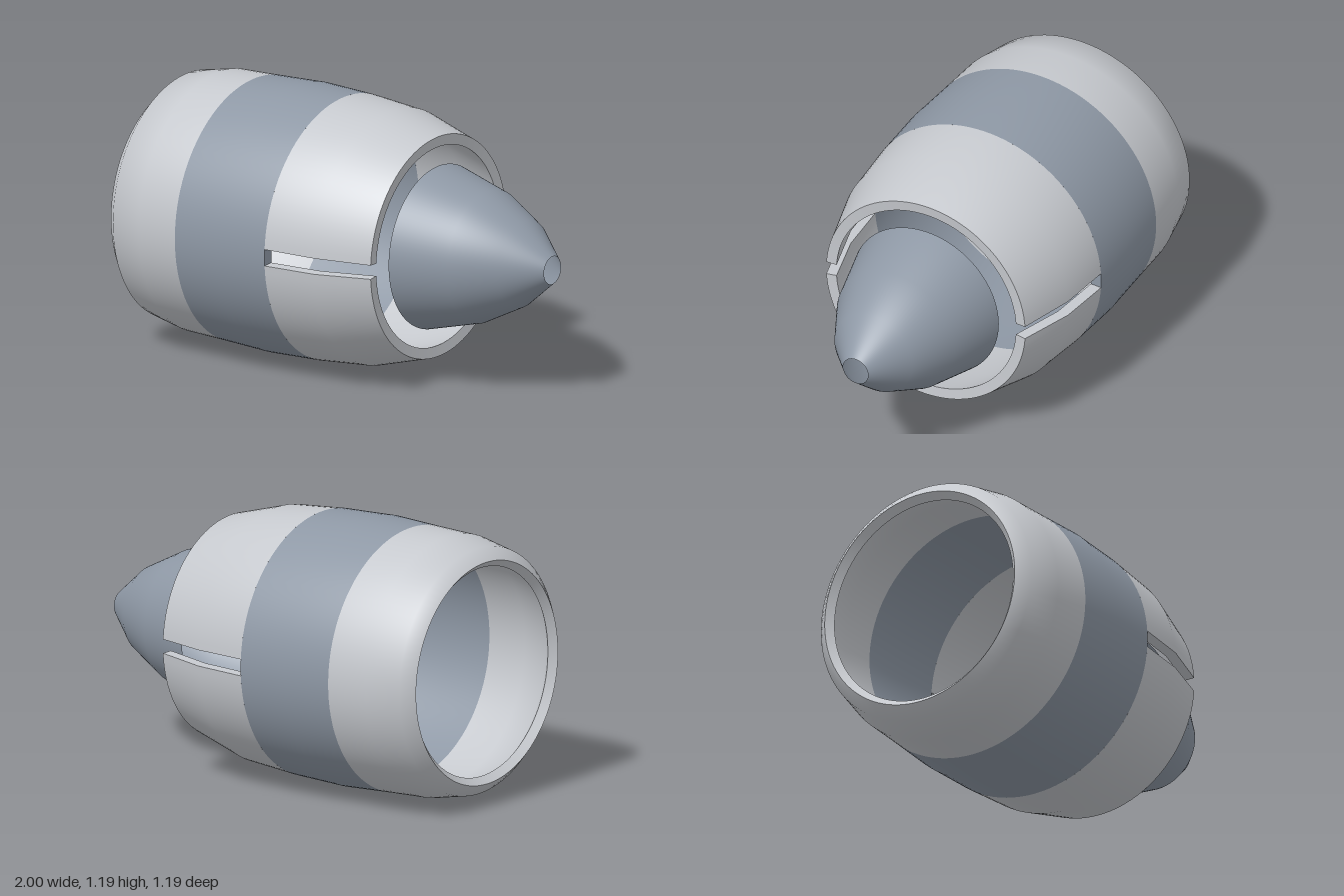
import * as THREE from 'three';
import { mergeGeometries, toCreasedNormals } from 'three/addons/utils/BufferGeometryUtils.js';

const CENTRE_Y = 0.595;
const SLOT = 0.0628; // half angle of each side slot

const lightGrey = new THREE.MeshStandardMaterial({ name: 'lightGrey', color: 0xc6c9ce, side: THREE.DoubleSide });
const slateGrey = new THREE.MeshStandardMaterial({ name: 'slateGrey', color: 0x8e98a5, side: THREE.DoubleSide });

// Profiles are lists of [x along the axis, radius]
const toPoints = (profile) => profile.map(([x, r]) => new THREE.Vector2(r, x));

// Thick shell swept about the axis, from an outer and an inner profile
function shell(outer, inner, start = 0, length = Math.PI * 2, segments = 100) {
  const loop = toPoints([...outer, ...inner.slice().reverse(), outer[0]]);
  const parts = [new THREE.LatheGeometry(loop, segments, start, length)];
  if (length < Math.PI * 2) {
    // Close the cut ends with the wall section
    for (const angle of [start, start + length]) {
      parts.push(new THREE.ShapeGeometry(new THREE.Shape(loop.slice(0, -1))).rotateY(angle - Math.PI / 2));
    }
  }
  return toCreasedNormals(mergeGeometries(parts), 0.8);
}

export function createModel() {
  const model = new THREE.Group();
  model.name = 'engineNacelle';

  const add = (name, geometry, material) => {
    geometry.rotateZ(-Math.PI / 2); // lay the axis along x
    const mesh = new THREE.Mesh(geometry, material);
    mesh.name = name;
    mesh.position.y = CENTRE_Y;
    model.add(mesh);
  };

  // Intake cowl with a chamfered lip
  add('intakeCowl', shell(
    [[-1, 0.492], [-0.95, 0.545], [-0.79, 0.577], [-0.59, 0.584]],
    [[-0.968, 0.462], [-0.93, 0.498], [-0.79, 0.527], [-0.59, 0.534]],
  ), lightGrey);

  // Darker band round the middle
  add('middleBand', shell(
    [[-0.59, 0.584], [-0.36, 0.594], [-0.11, 0.585]],
    [[-0.59, 0.534], [-0.36, 0.543], [-0.11, 0.535]],
  ), slateGrey);

  // Upper and lower rear cowls, parted by a slot on each side
  ['upperRearCowl', 'lowerRearCowl'].forEach((name, i) => add(name, shell(
    [[-0.11, 0.585], [0.14, 0.564], [0.39, 0.493]],
    [[-0.11, 0.535], [0.14, 0.514], [0.385, 0.445]],
    (1 - i) * Math.PI + SLOT, Math.PI - 2 * SLOT, 50,
  ), lightGrey));

  // Open exhaust cone
  add('exhaustCone', new THREE.LatheGeometry(
    toPoints([[0.39, 0.362], [0.65, 0.293], [0.845, 0.193], [1, 0.062]]), 100,
  ), slateGrey);

  return model;
}
